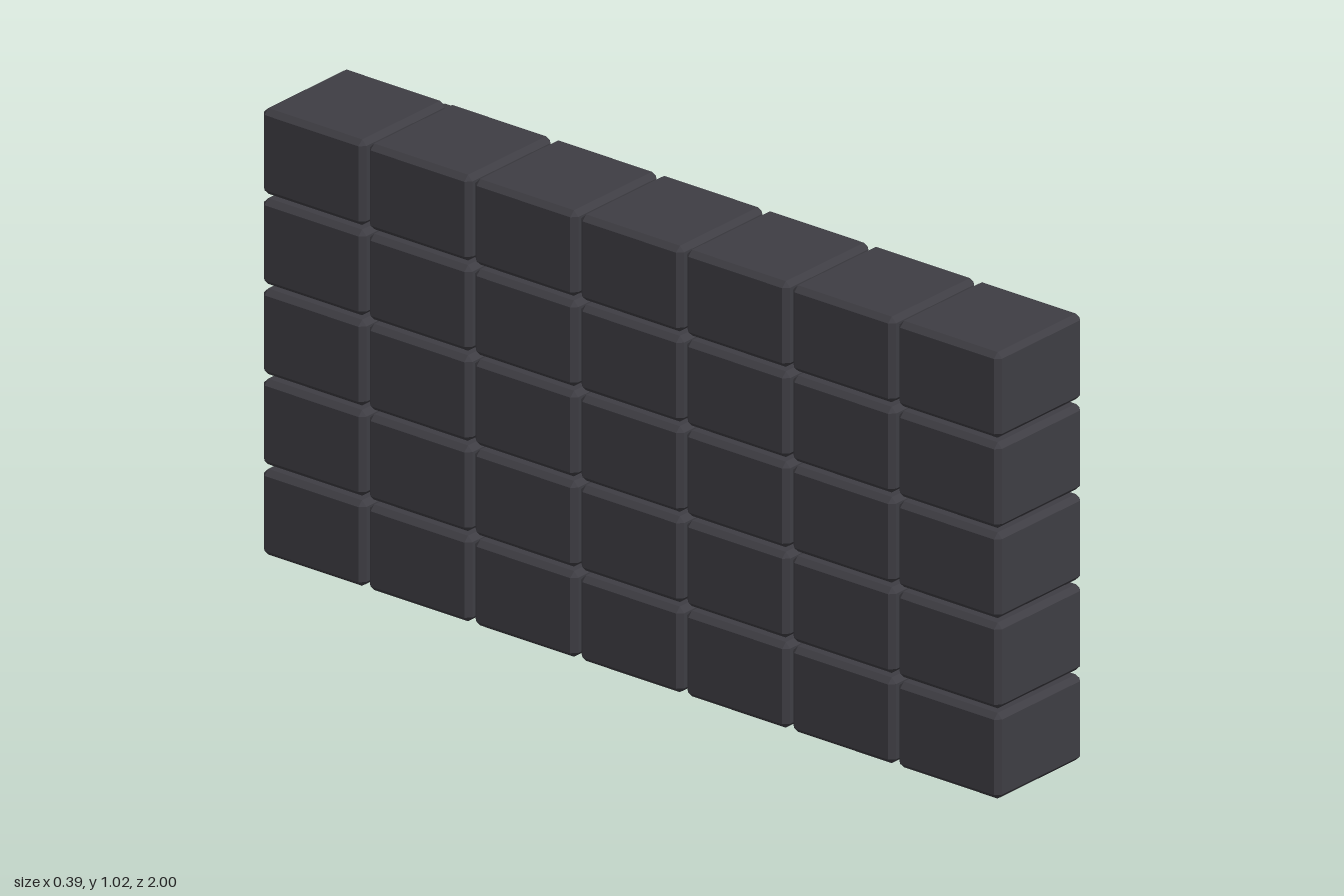
import * as THREE from 'three';
import { ConvexGeometry } from 'three/addons/geometries/ConvexGeometry.js';

// Box with every edge cut by a flat chamfer c
function chamferBox(w, h, d, c) {
  const points = [];
  for (const sx of [-1, 1]) for (const sy of [-1, 1]) for (const sz of [-1, 1]) {
    const x = w / 2, y = h / 2, z = d / 2;
    points.push(
      new THREE.Vector3(sx * x, sy * (y - c), sz * (z - c)),
      new THREE.Vector3(sx * (x - c), sy * y, sz * (z - c)),
      new THREE.Vector3(sx * (x - c), sy * (y - c), sz * z)
    );
  }
  return new ConvexGeometry(points);
}

export function createModel() {
  const stone = new THREE.MeshStandardMaterial({ name: 'darkStone', color: 0x3e3d43 });
  const iron = new THREE.MeshStandardMaterial({ name: 'darkIron', color: 0x3d3d41 });
  const wood = new THREE.MeshStandardMaterial({ name: 'brownWood', color: 0x5c3d2e });
  const model = new THREE.Group();
  model.name = 'blockWall';

  const add = (parent, name, geometry, material, x, y, z) => {
    const mesh = new THREE.Mesh(geometry, material);
    mesh.name = name;
    mesh.position.set(x, y, z);
    parent.add(mesh);
  };

  // Wall: five rows of seven blocks with open joints
  const blocks = new THREE.Group();
  blocks.name = 'blocks';
  const height = 0.196, length = 0.278;
  const block = chamferBox(0.281, height, length, 0.012);
  for (let row = 0; row < 5; row++) {
    for (let col = 0; col < 7; col++) {
      add(blocks, 'block', block, stone, -0.053, height / 2 + row * 0.2065, (col - 3) * 0.287);
    }
  }
  model.add(blocks);

  // Upright bars in front of the wall
  const bars = new THREE.Group();
  bars.name = 'uprightBars';
  const bar = chamferBox(0.045, 0.924, 0.05, 0.005);
  for (const z of [-0.75, -0.25, 0.25, 0.75]) add(bars, 'uprightBar', bar, iron, 0.118, 0.523, z);
  model.add(bars);

  // Hexagonal rail running along the bars, flats up and down
  const rail = new THREE.CylinderGeometry(0.034, 0.034, 1.78, 6);
  rail.rotateY(Math.PI / 6).rotateX(Math.PI / 2);
  const flatRail = rail.toNonIndexed();
  flatRail.computeVertexNormals();
  add(model, 'rail', flatRail, wood, 0.158, 0.242, 0.012);

  return model;
}
